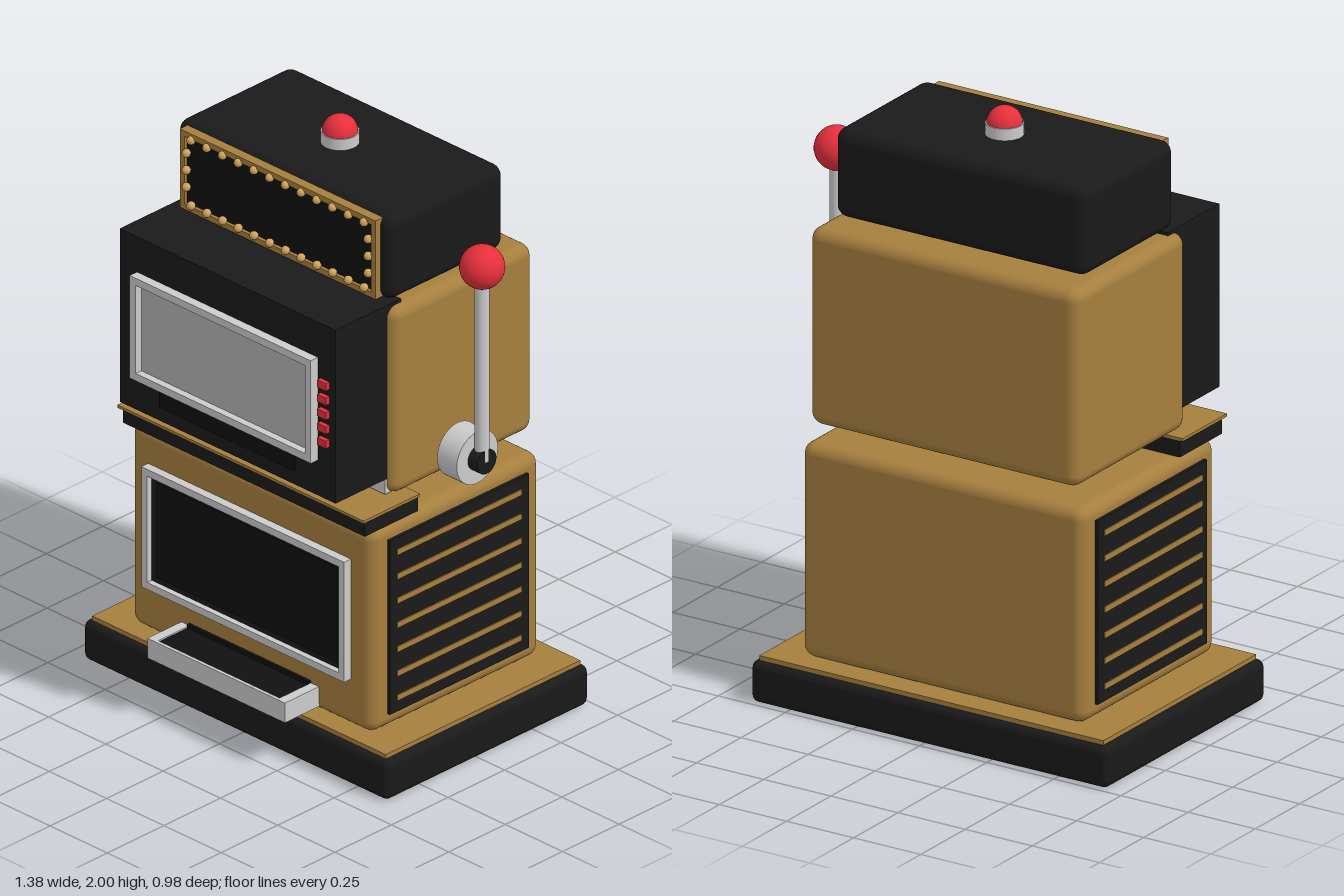
import * as THREE from 'three';
import { RoundedBoxGeometry } from 'three/addons/geometries/RoundedBoxGeometry.js';

const mat = (color) => new THREE.MeshStandardMaterial({ color });
const gold = mat(0xa67f3e), black = mat(0x1a1a1a), dark = mat(0x111111);
const grey = mat(0xcccccc), glass = mat(0xb4b4b4), red = mat(0xe6303c), bulbGold = mat(0xd2a45c);

export function createModel() {
  const model = new THREE.Group();

  const add = (name, geometry, material, x = 0, y = 0, z = 0) => {
    const mesh = new THREE.Mesh(geometry, material);
    mesh.name = name;
    mesh.position.set(x, y, z);
    model.add(mesh);
    return mesh;
  };
  // Box given by its extents; a radius rounds the edges
  const box = (name, material, x0, x1, y0, y1, z0, z1, r = 0) => {
    const s = [x1 - x0, y1 - y0, z1 - z0];
    const g = r ? new RoundedBoxGeometry(...s, 4, r) : new THREE.BoxGeometry(...s);
    return add(name, g, material, (x0 + x1) / 2, (y0 + y1) / 2, (z0 + z1) / 2);
  };
  // Rectangular picture frame facing the front
  const frame = (name, material, x0, x1, y0, y1, z0, z1, w) => {
    const rect = (T, d) => new T([
      new THREE.Vector2(x0 + d, y0 + d), new THREE.Vector2(x1 - d, y0 + d),
      new THREE.Vector2(x1 - d, y1 - d), new THREE.Vector2(x0 + d, y1 - d)]);
    const shape = rect(THREE.Shape, 0);
    shape.holes.push(rect(THREE.Path, w));
    return add(name, new THREE.ExtrudeGeometry(shape, { depth: z1 - z0, bevelEnabled: false }), material, 0, 0, z0);
  };
  const cylinder = (name, material, r, h, x, y, z) =>
    add(name, new THREE.CylinderGeometry(r, r, h, 32), material, x, y, z);

  // Plinth
  box('base', black, -0.69, 0.64, 0, 0.14, -0.49, 0.41, 0.025);
  box('baseTrim', gold, -0.665, 0.617, 0.13, 0.155, -0.47, 0.39);

  // Lower cabinet
  box('lowerCabinet', gold, -0.55, 0.505, 0.155, 0.875, -0.41, 0.34, 0.04);
  frame('lowerPanelFrame', grey, -0.47, 0.415, 0.325, 0.75, 0.33, 0.37, 0.025);
  box('lowerPanel', black, -0.446, 0.391, 0.349, 0.726, 0.33, 0.35);
  box('lowerPanelGlass', dark, -0.42, 0.365, 0.37, 0.705, 0.34, 0.353);

  // Side grilles with horizontal slats
  for (const side of [-1, 1]) {
    const cx = -0.0225, near = 0.515, far = 0.541;
    const span = (a, b) => (side > 0 ? [cx + a, cx + b] : [cx - b, cx - a]);
    box('sideGrille', black, ...span(near, far - 0.002), 0.21, 0.825, -0.345, 0.27);
    for (let i = 0; i < 7; i++) {
      const y = 0.26 + i * 0.0858;
      box('grilleSlat', gold, ...span(near, far + 0.002), y - 0.01, y + 0.01, -0.31, 0.24);
    }
  }

  // Payout tray
  box('trayFloor', grey, -0.325, 0.275, 0.175, 0.19, 0.33, 0.49);
  box('trayFront', grey, -0.325, 0.275, 0.175, 0.245, 0.478, 0.49);
  for (const x of [-0.325, 0.24]) box('traySide', grey, x, x + 0.035, 0.175, 0.245, 0.33, 0.49);
  box('trayLining', dark, -0.29, 0.24, 0.185, 0.24, 0.335, 0.48);
  box('trayOpening', dark, -0.29, 0.24, 0.2, 0.254, 0.335, 0.35);

  // Button shelf
  box('shelf', black, -0.55, 0.505, 0.875, 0.93, 0.135, 0.37);
  box('shelfTrim', gold, -0.56, 0.515, 0.93, 0.94, 0.135, 0.385);
  for (let i = 0; i < 4; i++) cylinder('shelfButton', grey, 0.035, 0.025, -0.4 + i * 0.119, 0.943, 0.29);
  cylinder('spinButton', red, 0.063, 0.035, 0.235, 0.953, 0.29);
  box('coinSlot', grey, 0.36, 0.447, 0.945, 0.996, 0.17, 0.222);

  // Upper cabinet and display housing
  box('upperCabinet', gold, -0.525, 0.477, 0.94, 1.6, -0.41, 0.215, 0.04);
  box('displayHousing', black, -0.495, 0.447, 0.997, 1.61, 0.15, 0.44);
  frame('screenFrame', grey, -0.42, 0.37, 1.122, 1.485, 0.43, 0.472, 0.026);
  box('screen', glass, -0.396, 0.346, 1.147, 1.46, 0.43, 0.447);
  box('billSlot', dark, -0.32, 0.27, 1.045, 1.1, 0.43, 0.443);
  for (let i = 0; i < 5; i++) {
    const y = 1.2 + i * 0.051;
    box('sideButton', red, 0.382, 0.42, y - 0.013, y + 0.013, 0.43, 0.456);
  }

  // Marquee with a border of bulbs
  box('marquee', black, -0.493, 0.447, 1.608, 1.907, -0.313, 0.198, 0.04);
  frame('marqueeFrame', gold, -0.45, 0.404, 1.617, 1.895, 0.185, 0.22, 0.02);
  box('marqueePanel', dark, -0.431, 0.385, 1.636, 1.876, 0.185, 0.208);
  const bulbShape = new THREE.SphereGeometry(0.0145, 14, 10);
  const bulb = (x, y) => add('marqueeBulb', bulbShape, bulbGold, x, y, 0.221);
  for (let i = 0; i < 12; i++) for (const y of [1.642, 1.873]) bulb(-0.4 + i * 0.0686, y);
  for (const y of [1.7, 1.76, 1.82]) for (const x of [-0.421, 0.373]) bulb(x, y);

  // Top beacon
  cylinder('beaconCollar', grey, 0.061, 0.05, -0.023, 1.921, -0.056);
  add('beaconDome', new THREE.SphereGeometry(0.057, 32, 16), red, -0.023, 1.943, -0.056);

  // Pull lever on the model's left
  cylinder('leverHub', grey, 0.091, 0.086, 0.549, 1.03, -0.04).rotation.z = Math.PI / 2;
  cylinder('leverPivot', black, 0.042, 0.045, 0.611, 1.03, -0.04).rotation.z = Math.PI / 2;
  cylinder('leverRod', grey, 0.023, 0.64, 0.612, 1.35, -0.04);
  add('leverKnob', new THREE.SphereGeometry(0.072, 32, 20), red, 0.613, 1.713, -0.04);

  return model;
}
